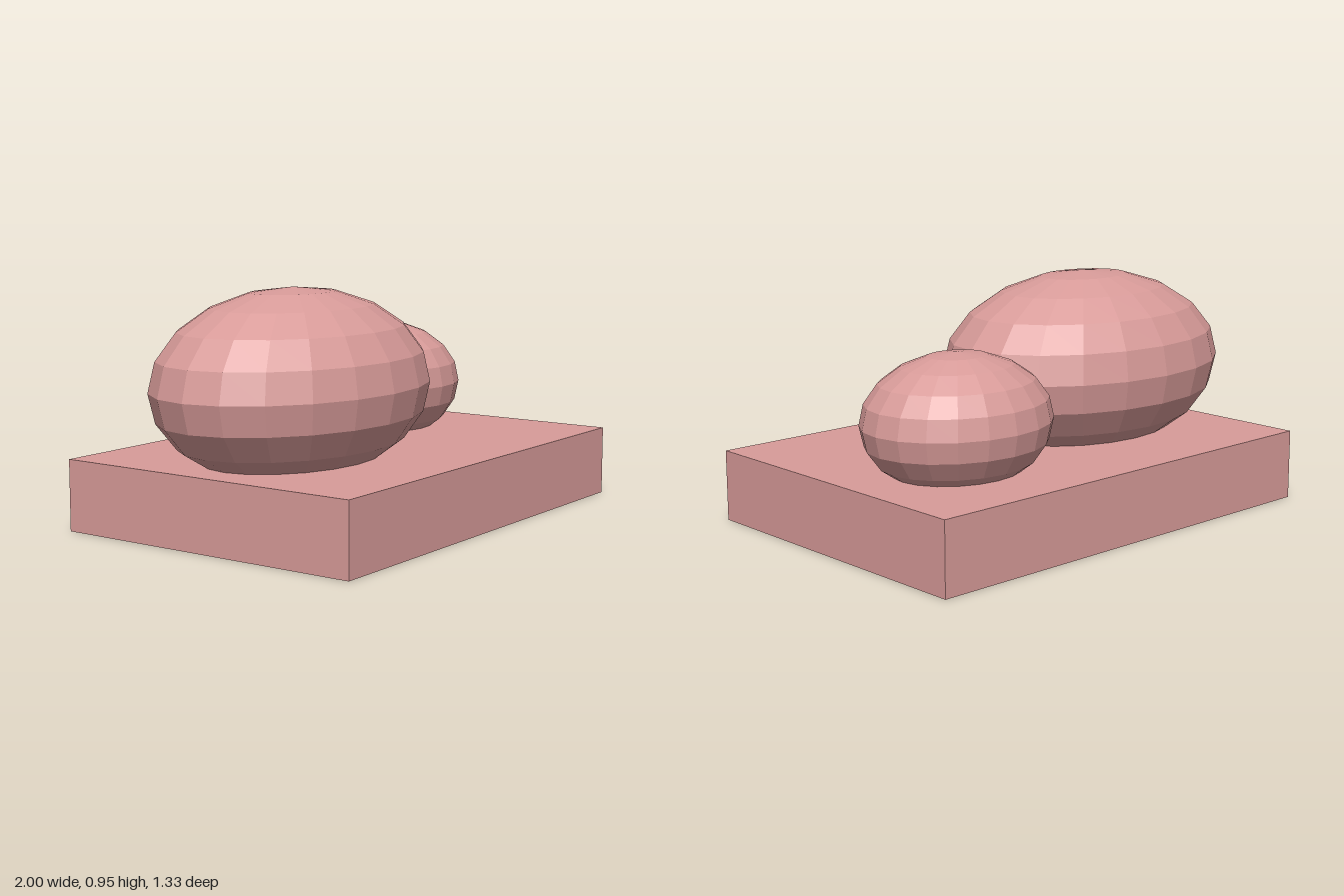
import * as THREE from 'three';

export function createModel() {
  const model = new THREE.Group();
  const material = new THREE.MeshStandardMaterial({ color: 0xd89b99, flatShading: true });

  const add = (name, geometry, x, y, z) => {
    const mesh = new THREE.Mesh(geometry, material);
    mesh.name = name;
    mesh.position.set(x, y, z);
    model.add(mesh);
  };

  // Faceted ellipsoid with the given half-axes
  const ellipsoid = (rx, ry, rz) => new THREE.SphereGeometry(1, 20, 10).scale(rx, ry, rz);

  // Rectangular slab, with both rounded forms sunk slightly into it
  add('base', new THREE.BoxGeometry(1.905, 0.286, 1.334), 0.0475, 0.143, 0);
  add('largeEllipsoid', ellipsoid(0.658, 0.381, 0.476), -0.342, 0.571, 0);
  add('smallEllipsoid', ellipsoid(0.395, 0.267, 0.333), 0.524, 0.476, -0.191);

  return model;
}
